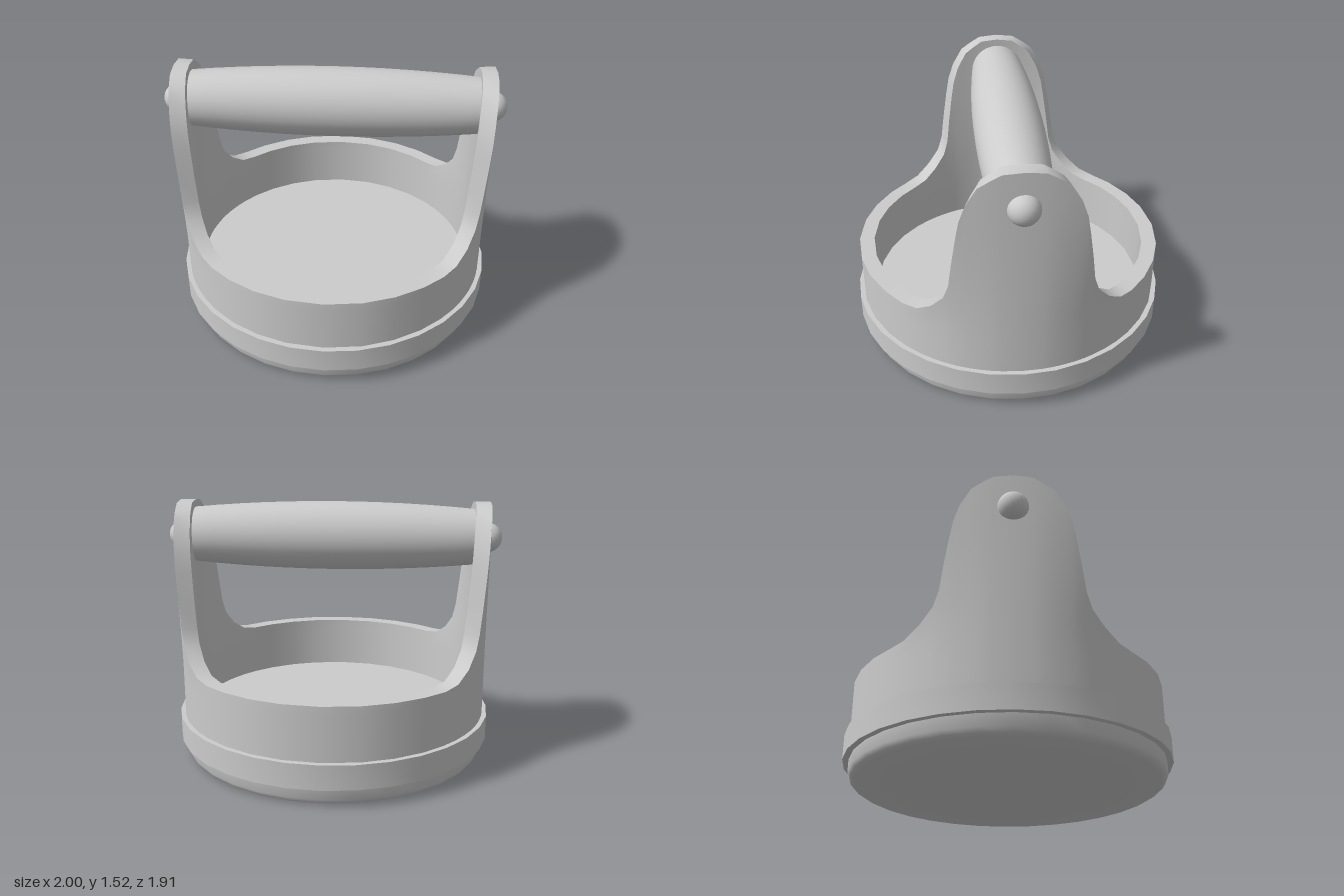
import * as THREE from 'three';
import { toCreasedNormals } from 'three/addons/utils/BufferGeometryUtils.js';

const grey = new THREE.MeshStandardMaterial({ color: 0xcccccc });
grey.name = 'plain grey';

const OUTER = 0.925, INNER = 0.835, BASE = 0.2, ROWS = 8;

// Upper edge of the wall for one quadrant: [distance from the ear's middle, height]
const EDGE = [
  [0, 1.525], [0.11, 1.515], [0.17, 1.48], [0.23, 1.44], [0.29, 1.34], [0.325, 1.24],
  [0.345, 1.13], [0.37, 0.97], [0.39, 0.82], [0.42, 0.73], [0.49, 0.645],
  [0.57, 0.585], [0.65, 0.57], [0.75, 0.57], [0.84, 0.57], [0.9, 0.57], [0.925, 0.57],
];

function add(group, name, geometry) {
  const mesh = new THREE.Mesh(geometry, grey);
  mesh.name = name;
  group.add(mesh);
  return mesh;
}

function lathe(points, segments = 32) {
  const g = new THREE.LatheGeometry(points.map(p => new THREE.Vector2(...p)), segments);
  return toCreasedNormals(g, 0.9);
}

// Mirror the quadrant into a full loop of [angle, height]
function wallColumns() {
  const quarter = EDGE.map(([z, y]) => [Math.asin(Math.min(1, z / OUTER)), y]);
  const half = quarter.concat(quarter.slice(0, -1).reverse().map(([a, y]) => [Math.PI - a, y]));
  return half.concat(half.slice(1, -1).reverse().map(([a, y]) => [2 * Math.PI - a, y]));
}

// The ears grow flatter toward their tops
function wallPoint(radius, angle, y) {
  const t = THREE.MathUtils.clamp((y - 0.57) / 0.7, 0, 1);
  const x = Math.cos(angle) * radius;
  const flat = Math.sign(x) * (radius - (radius - Math.abs(x)) * (1 - 0.5 * t));
  return [t > 0 ? flat : x, y, Math.sin(angle) * radius];
}

// Closed band around the axis, from a list of point rings
function band(rings) {
  const n = rings[0].length, index = [];
  for (let r = 0; r < rings.length - 1; r++) {
    for (let i = 0; i < n; i++) {
      const j = (i + 1) % n;
      const a = r * n + i, b = r * n + j, c = a + n, d = b + n;
      index.push(a, c, b, b, c, d);
    }
  }
  const g = new THREE.BufferGeometry();
  g.setAttribute('position', new THREE.Float32BufferAttribute(rings.flat(2), 3));
  g.setIndex(index);
  g.computeVertexNormals();
  return g;
}

export function createModel() {
  const model = new THREE.Group();
  model.name = 'handledPress';

  // Base plate with a bevelled foot
  add(model, 'basePlate', lathe([
    [0, 0], [0.88, 0], [0.905, 0.015], [0.92, 0.04], [0.92, 0.15],
  ]));
  add(model, 'rim', lathe([
    [0.88, 0.11], [0.955, 0.11], [0.955, 0.255], [0.88, 0.255],
  ]));
  add(model, 'floor', lathe([[0.9, 0.25], [0, 0.25]]));

  // Round wall rising into two ears
  const columns = wallColumns();
  const ring = (radius, f) =>
    columns.map(([a, top]) => wallPoint(radius, a, BASE + (top - BASE) * f));
  const fractions = Array.from({ length: ROWS + 1 }, (_, i) => i / ROWS);
  const wall = new THREE.Group();
  wall.name = 'wall';
  add(wall, 'wallOutside', band(fractions.map(f => ring(OUTER, f))));
  add(wall, 'wallEdge', band([ring(OUTER, 1), ring(INNER, 1)]));
  add(wall, 'wallInside', band(fractions.map(f => ring(INNER, 1 - f))));
  model.add(wall);

  // Barrel-shaped grip between the ears
  const grip = [[0, -0.85]];
  for (let i = 0; i <= 12; i++) {
    const x = -0.85 + (1.7 * i) / 12;
    grip.push([0.203 - 0.04 * (x / 0.85) ** 2, x]);
  }
  grip.push([0, 0.85]);
  const handle = add(model, 'handle', lathe(grip));
  handle.rotation.z = Math.PI / 2;
  handle.position.y = 1.318;

  // Domed rivets on the ears
  for (const side of [-1, 1]) {
    const rivet = add(model, side > 0 ? 'leftRivet' : 'rightRivet',
      new THREE.SphereGeometry(0.088, 24, 16));
    rivet.position.set(side * 0.912, 1.315, 0);
  }
  return model;
}
